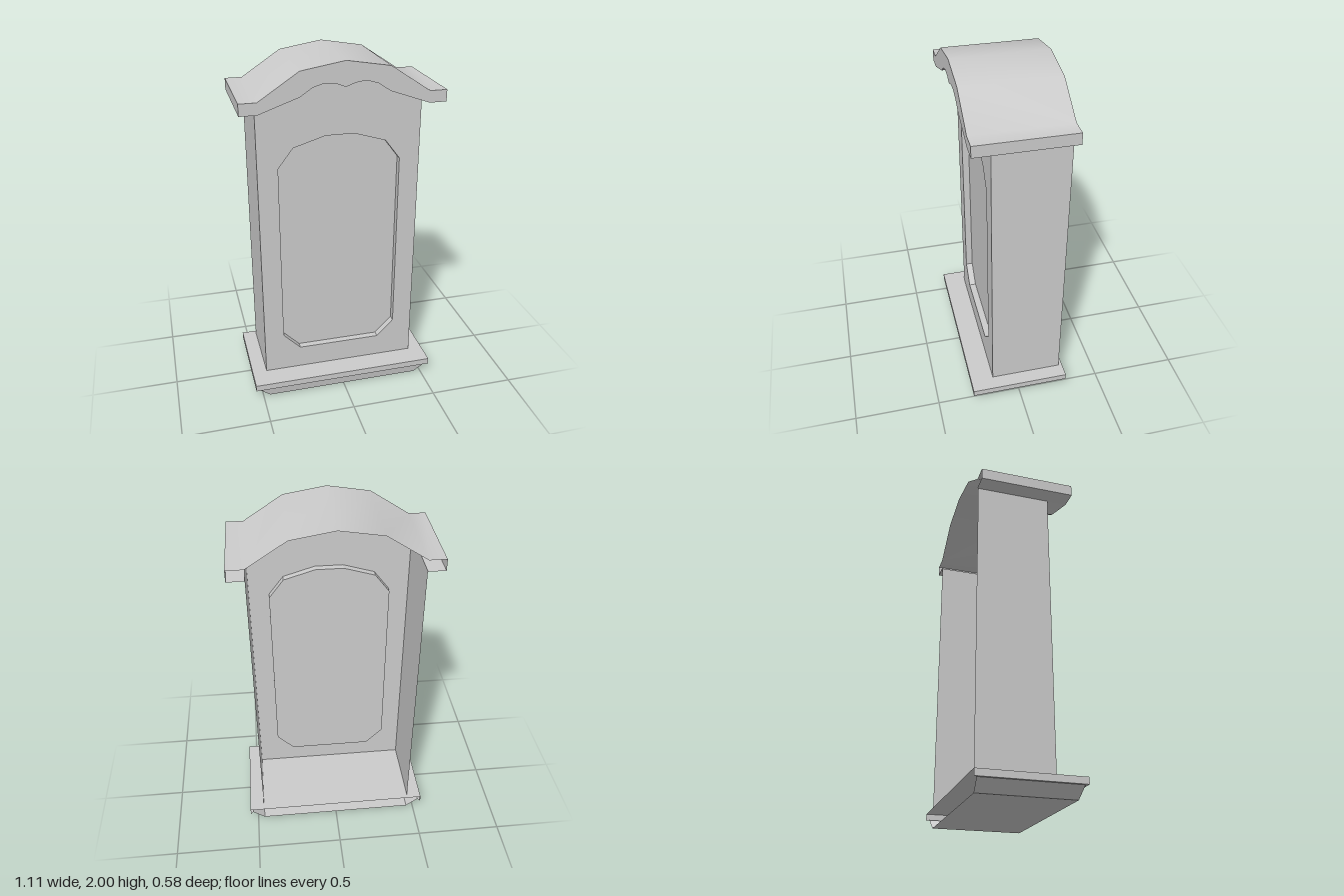
import * as THREE from 'three';
import { toCreasedNormals } from 'three/addons/utils/BufferGeometryUtils.js';

const material = new THREE.MeshStandardMaterial({ color: 0xcccccc, side: THREE.DoubleSide });

// Surface stretched across rows of [x, y, z] points, smooth below the crease angle
function sheet(rows, crease = 0.1) {
  const pos = [];
  for (let r = 0; r + 1 < rows.length; r++) {
    const [a, b] = [rows[r], rows[r + 1]];
    for (let i = 0; i + 1 < a.length; i++) {
      pos.push(...a[i], ...a[i + 1], ...b[i + 1], ...a[i], ...b[i + 1], ...b[i]);
    }
  }
  const geo = new THREE.BufferGeometry();
  geo.setAttribute('position', new THREE.Float32BufferAttribute(pos, 3));
  return toCreasedNormals(geo, crease);
}

// Right half of an outline, mirrored into a left-to-right line
const mirror = (half) => {
  const left = half.filter(([x]) => x > 0).map(([x, y]) => [-x, y]).reverse();
  return [...left, ...half];
};
const atZ = (pts, z) => pts.map(([x, y]) => [x, y, z]);
const toVectors = (pts) => pts.map(([x, y]) => new THREE.Vector2(x, y));
const flat = (pts, z, hole) => {
  const shape = new THREE.Shape(toVectors(pts));
  if (hole) shape.holes.push(new THREE.Path(toVectors(hole)));
  return new THREE.ShapeGeometry(shape).translate(0, 0, z);
};

export function createModel() {
  const model = new THREE.Group();
  const add = (name, geometry) => {
    const mesh = new THREE.Mesh(geometry, material);
    mesh.name = name;
    model.add(mesh);
  };

  const wallX = 0.46, wallFront = 0.155, wallBack = -0.265;
  const floorY = 0.097, eaveY = 1.75, roofZ = 0.27;

  // Plinth: bevelled foot under a wider slab, open at the back
  const plinthRow = (x, y, front, back) => [[-x, y, back], [-x, y, front], [x, y, front], [x, y, back]];
  const foot = plinthRow(wallX, 0, 0.265, -0.265);
  const slabTop = plinthRow(0.545, floorY, 0.29, -0.287);
  add('plinth', sheet([
    foot,
    plinthRow(0.53, 0.06, 0.275, -0.27),
    plinthRow(0.545, 0.06, 0.29, -0.287),
    slabTop,
  ]));
  add('plinthTop', sheet([[slabTop[1], slabTop[2]], [slabTop[0], slabTop[3]]]));
  add('plinthBottom', sheet([[foot[0], foot[3]], [foot[1], foot[2]]]));

  // Side walls
  for (const s of [-1, 1]) {
    const edge = (y) => [[s * wallX, y, s * wallFront], [s * wallX, y, s * wallBack]]
      .map(([x, yy, z]) => [x, yy, z * s]);
    const row = (y) => (s > 0 ? edge(y) : edge(y).reverse());
    add(s > 0 ? 'leftWall' : 'rightWall', sheet([row(floorY), row(eaveY)]));
  }

  // Front wall with a scalloped top and a recessed panel
  const wave = mirror([
    [0, 1.865], [0.05, 1.884], [0.085, 1.889], [0.12, 1.889], [0.175, 1.872],
    [0.24, 1.828], [wallX, eaveY],
  ]);
  const opening = mirror([
    [0.08, 1.575], [0.26, 1.52], [0.345, 1.408], [0.345, 0.335], [0.245, 0.232],
  ]);
  // Order the opening as one loop around the panel
  const half = opening.filter(([x]) => x > 0);
  const ring = [...half, ...half.map(([x, y]) => [-x, y]).reverse()];
  const panelZ = wallFront - 0.04;
  add('frontWall', flat([[-wallX, floorY], [wallX, floorY], ...wave.slice().reverse()], wallFront, ring));
  add('frontPanel', flat(ring, panelZ));
  const closed = [...ring, ring[0]];
  add('panelReveal', sheet([atZ(closed, panelZ), atZ(closed, wallFront)]));

  // Arched roof shell with boxed eaves, open at the back
  const roof = mirror([
    [0, 2], [0.24, 1.96], [wallX, 1.815], [0.555, 1.815], [0.555, eaveY], [wallX, eaveY],
  ]);
  add('roof', sheet([atZ(roof, roofZ), atZ(roof, -roofZ)], 0.7));

  // Fascia and the scalloped soffit behind it
  add('fascia', flat([...roof, ...wave.slice(1, -1).reverse()], roofZ));
  add('soffit', sheet([atZ(wave, wallFront), atZ(wave, roofZ)], 0.7));

  return model;
}
